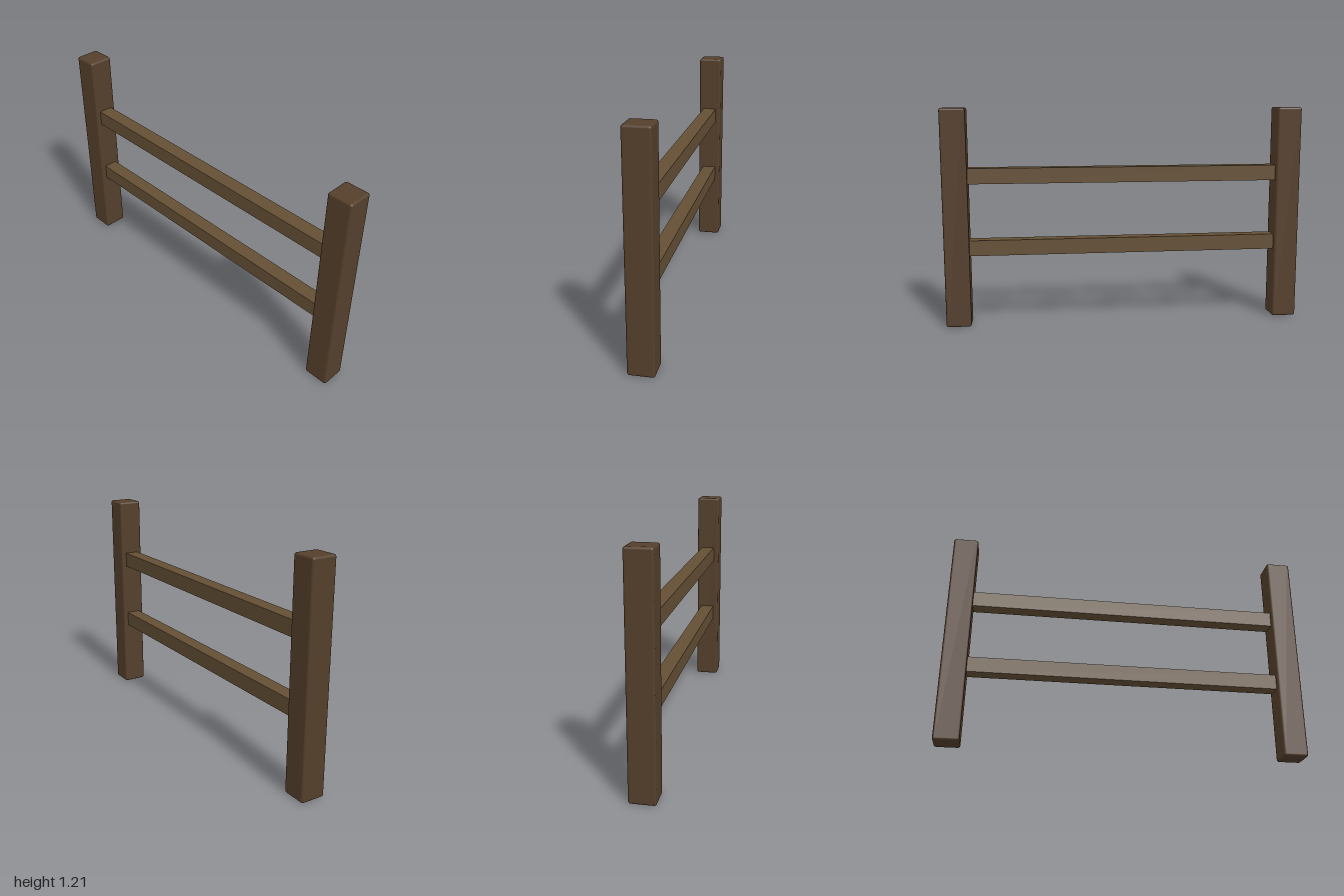
import * as THREE from 'three';
import { RoundedBoxGeometry } from 'three/addons/geometries/RoundedBoxGeometry.js';

const POST = { width: 0.137, height: 1.207, bevel: 0.012 };
const RAIL = { width: 0.08, height: 0.086, length: 1.74 };

export function createModel() {
  const model = new THREE.Group();
  model.name = 'fence';

  const postWood = new THREE.MeshStandardMaterial({ color: 0x543f2b });
  const railWood = new THREE.MeshStandardMaterial({ color: 0x644f35 });

  // Upright posts with softened edges, one at each end
  const postGeometry = new RoundedBoxGeometry(POST.width, POST.height, POST.width, 2, POST.bevel);
  for (const [name, side] of [['frontPost', 1], ['backPost', -1]]) {
    const post = new THREE.Mesh(postGeometry, postWood);
    post.name = name;
    post.position.set(0, POST.height / 2, side * (1 - POST.width / 2));
    model.add(post);
  }

  // Horizontal rails, their ends let slightly into the posts
  const railGeometry = new THREE.BoxGeometry(RAIL.width, RAIL.height, RAIL.length);
  for (const [name, y] of [['lowerRail', 0.439], ['upperRail', 0.838]]) {
    const rail = new THREE.Mesh(railGeometry, railWood);
    rail.name = name;
    rail.position.y = y;
    model.add(rail);
  }

  return model;
}
